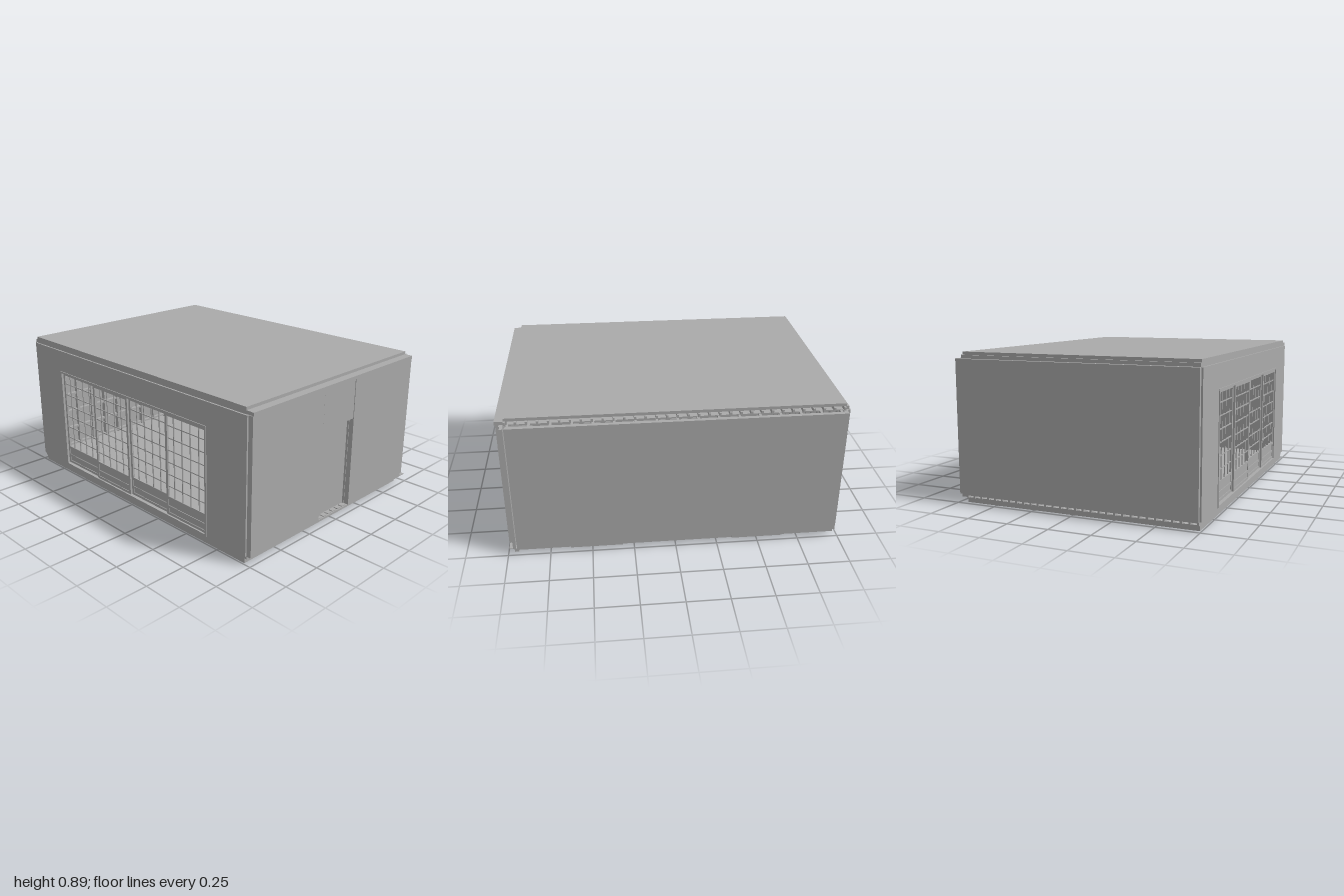
import * as THREE from 'three';

export function createModel() {
  const model = new THREE.Group();
  const grey = new THREE.MeshStandardMaterial({ color: 0xaaaaaa });
  grey.name = 'panel grey';

  const group = (name) => {
    const g = new THREE.Group();
    g.name = name;
    model.add(g);
    return g;
  };
  // Box given by its lower and upper limits on each axis
  const box = (parent, name, x0, x1, y0, y1, z0, z1) => {
    const m = new THREE.Mesh(new THREE.BoxGeometry(x1 - x0, y1 - y0, z1 - z0), grey);
    m.position.set((x0 + x1) / 2, (y0 + y1) / 2, (z0 + z1) / 2);
    m.name = name;
    parent.add(m);
  };

  const X0 = -0.74, X1 = 0.70, Z0 = -0.97, Z1 = 0.95;
  const LOW = 0.05, HIGH = 0.85;

  // Floor: base slab, joists running front to back, and deck
  const floor = group('floor');
  box(floor, 'baseSlab', X0, X1, 0, 0.03, Z0, Z1);
  box(floor, 'deck', X0, X1, 0.046, 0.052, Z0, Z1);
  for (let i = 0; i <= 30; i++) {
    const x = X0 + i * (X1 - X0 - 0.012) / 30;
    box(floor, 'floorJoist', x, x + 0.012, 0.03, 0.046, Z0 - 0.015, Z1 + 0.015);
  }
  box(floor, 'leftRimJoist', X0, X0 + 0.012, 0.03, LOW, Z0, Z1);
  box(floor, 'rightRimJoist', 0.69, 0.715, 0.03, LOW, Z0, Z1);
  box(floor, 'frontSill', X0, 0.75, 0.046, LOW, Z1, 0.99);
  box(floor, 'backSill', X0, X1, 0.046, LOW, -0.99, Z0);
  box(floor, 'cornerFoot', 0.70, 0.75, 0.025, LOW, 0.935, 0.96);
  box(floor, 'rightSill', 0.70, 0.74, 0.03, LOW, Z0, Z1);
  for (const z of [-0.65, 0.32]) box(floor, 'sillPlate', 0.74, 0.75, 0.032, LOW, z, z + 0.31);

  // Roof: ceiling, joists running side to side, and slab
  const roof = group('roof');
  box(roof, 'ceiling', X0, X1, 0.845, 0.852, Z0, Z1);
  box(roof, 'roofSlab', X0, X1, 0.872, 0.89, -0.975, Z1);
  for (let i = 0; i <= 32; i++) {
    const z = Z0 + i * (Z1 - Z0 - 0.012) / 32;
    box(roof, 'roofJoist', X0, 0.715, 0.852, 0.872, z, z + 0.012);
  }
  box(roof, 'frontTopPlate', X0, X1, 0.852, 0.872, Z1 - 0.02, 1.0);
  box(roof, 'backTopPlate', X0, X1, 0.852, 0.872, -0.99, Z0 + 0.01);
  box(roof, 'leftTopPlate', X0, X0 + 0.012, 0.852, 0.872, Z0, Z1);

  // Front wall: cladding around the doorway
  const front = group('frontWall');
  const D0 = -0.16, D1 = 0.12, DT = 0.61;
  box(front, 'leftPanel', X0, D0 - 0.003, LOW, HIGH, 0.965, 0.995);
  box(front, 'rightPanel', D1 + 0.003, 0.69, LOW, HIGH, 0.965, 0.995);
  box(front, 'doorHeader', D0, D1, DT, HIGH, 0.965, 0.993);
  box(front, 'innerLeftPanel', X0, D0, LOW, HIGH, 0.94, 0.965);
  box(front, 'innerRightPanel', D1, 0.69, LOW, HIGH, 0.94, 0.965);
  box(front, 'innerHeader', D0, D1, DT, HIGH, 0.94, 0.965);
  box(front, 'door', D0 + 0.004, D1 - 0.004, LOW + 0.006, DT - 0.006, 0.94, 0.955);
  for (let i = 0; i < 6; i++) box(front, 'thresholdBlock', D0 + 0.01 + i * 0.045, D0 + 0.04 + i * 0.045, LOW, 0.055, 0.957, 0.985);

  // Back wall: cladding
  const back = group('backWall');
  box(back, 'cladding', X0, X1, LOW, HIGH, -1.0, -0.98);
  box(back, 'lining', X0, X1, LOW, HIGH, -0.98, -0.965);

  // Right wall: cladding with narrow posts in the corner gaps
  const right = group('rightWall');
  box(right, 'cladding', 0.725, 0.75, LOW, HIGH, Z0 + 0.005, Z1 - 0.005);
  for (const z of [-0.985, 0.945]) {
    box(right, 'cornerPost', 0.69, 0.715, LOW, HIGH, z, z + 0.03);
    box(right, 'cornerTrim', 0.715, 0.75, LOW, HIGH, z + 0.006, z + 0.024);
  }

  // Left wall: two piers and a header around the window front
  const left = group('leftWall');
  const W0 = -0.70, W1 = 0.67, WT = 0.70;
  box(left, 'backPier', -0.75, -0.72, LOW, HIGH, -0.98, W0);
  box(left, 'frontPier', -0.75, -0.72, LOW, HIGH, W1, 0.965);
  box(left, 'header', -0.75, -0.72, WT, HIGH, W0, W1);
  box(left, 'headTrim', -0.755, -0.75, WT, WT + 0.012, W0, W1);
  box(left, 'bottomTrack', -0.755, -0.72, LOW, 0.062, W0, W1);
  for (const z of [W0, W1 - 0.012]) box(left, 'sideTrim', -0.755, -0.75, LOW, WT, z, z + 0.012);

  // Four sliding window doors on alternating tracks
  const doors = group('windowDoors');
  const width = (W1 - W0) / 4;
  for (let d = 0; d < 4; d++) {
    const xa = d % 2 ? -0.745 : -0.733, xb = xa + 0.012;
    const a = W0 + d * width, b = a + width;
    box(doors, 'kickPanel', xa + 0.004, xb - 0.004, 0.062, 0.17, a, b);
    for (const y of [0.062, 0.105, 0.165, WT - 0.018]) box(doors, 'rail', xa, xb, y, y + 0.016, a, b);
    for (const z of [a, b - 0.016]) box(doors, 'stile', xa, xb, 0.062, WT, z, z + 0.016);
    for (let i = 1; i < 5; i++) {
      const z = a + i * width / 5;
      box(doors, 'verticalBar', xa + 0.003, xb - 0.003, 0.17, WT, z - 0.003, z + 0.003);
    }
    for (let i = 1; i < 7; i++) {
      const y = 0.17 + i * (WT - 0.17) / 7;
      box(doors, 'crossBar', xa + 0.003, xb - 0.003, y - 0.003, y + 0.003, a, b);
    }
  }

  // Inner framing: studs and rails against the right and back walls
  const framing = group('innerFraming');
  for (let i = 0; i <= 16; i++) {
    const z = -0.95 + i * 0.117;
    box(framing, 'rightStud', 0.69, 0.725, LOW, HIGH, z, z + 0.014);
  }
  for (let i = 0; i <= 12; i++) {
    const x = -0.71 + i * 0.114;
    box(framing, 'backStud', x, x + 0.014, LOW, HIGH, -0.965, -0.935);
  }
  for (let i = 0; i < 7; i++) {
    const y = 0.06 + i * 0.125;
    box(framing, 'rightRail', 0.69, 0.72, y, y + 0.012, -0.95, 0.93);
    box(framing, 'backRail', -0.71, 0.69, y, y + 0.012, -0.965, -0.94);
  }

  return model;
}
